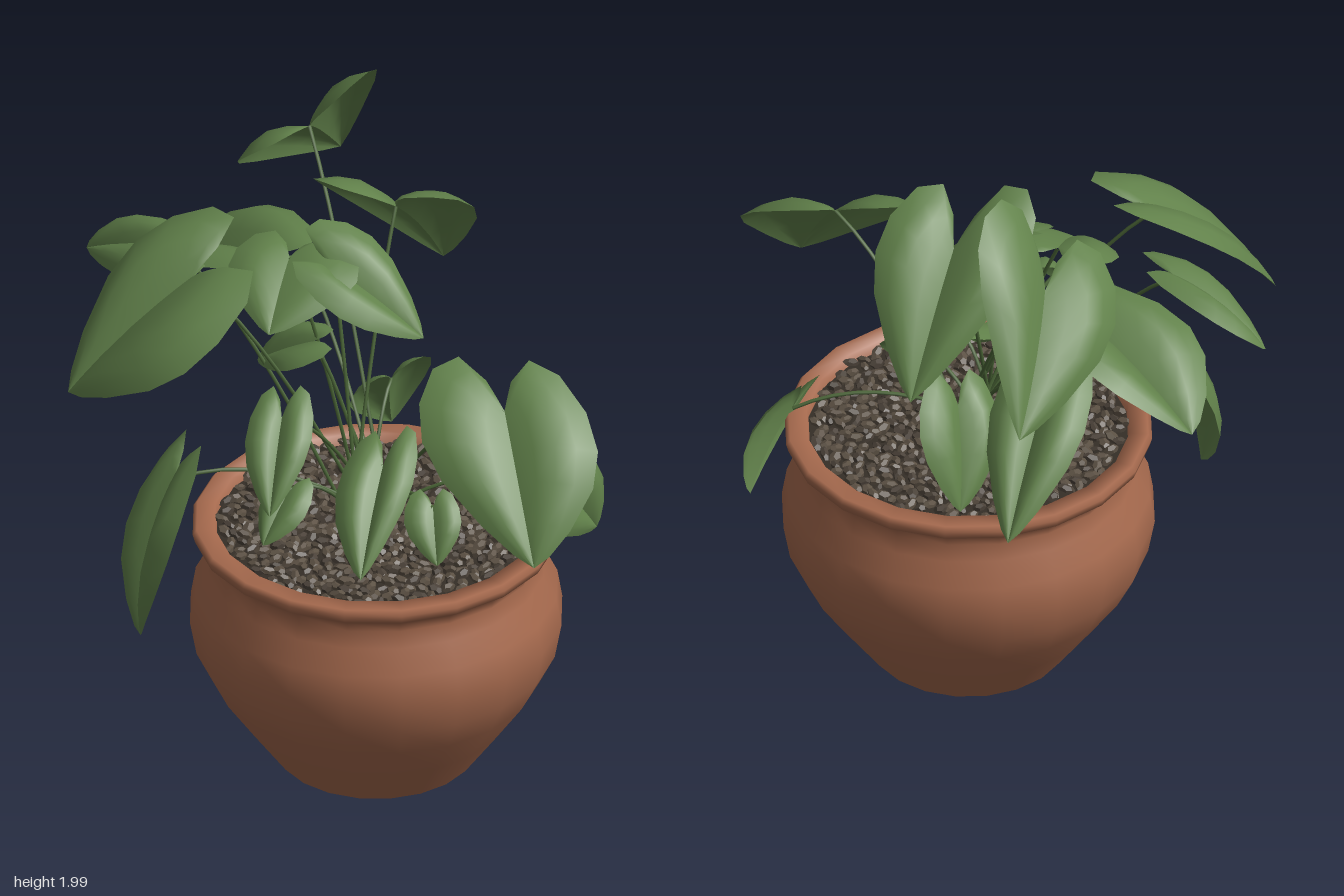
import * as THREE from 'three';
import { mergeGeometries } from 'three/addons/utils/BufferGeometryUtils.js';

const mat = (name, color, side = THREE.FrontSide) => {
  const m = new THREE.MeshStandardMaterial({ color, side });
  m.name = name;
  return m;
};
const V = (a) => new THREE.Vector3(...a);

// Small seeded generator for the pebbles
let seed = 7;
const rnd = () => ((seed = (seed * 16807) % 2147483647) / 2147483647);

// Half outline of a heart-shaped leaf: [across, along, matching point on the midrib]
const HEART = [
  [0, 0, 0], [0.14, -0.2, 0.0], [0.4, -0.36, 0.02], [0.72, -0.28, 0.06], [0.95, -0.05, 0.12],
  [1, 0.2, 0.25], [0.86, 0.45, 0.45], [0.5, 0.74, 0.7], [0.2, 0.92, 0.88], [0, 1, 1],
];
const SIDE_ALONG = 0.2;

// Leaf from its notch, its tip and the widest point of each half
function leafGeometry(notch, tip, sideA, sideB) {
  const along = tip.clone().sub(notch);
  const halves = [sideA, sideB].map((s) => s.clone().sub(notch).addScaledVector(along, -SIDE_ALONG));
  const up = halves[1].clone().sub(halves[0]).cross(along).normalize();
  if (up.y < 0) up.negate();
  const pos = [], index = [], cols = 4, row = cols + 1, len = along.length();
  halves.forEach((half, h) => {
    const base = pos.length / 3;
    HEART.forEach(([u, v, mid], i) => {
      for (let c = 0; c <= cols; c++) {
        const t = c / cols, a = mid + (v - mid) * t;
        // Blade bulges between rib and edge, and arches along its length
        const lift = len * (0.1 * Math.sin(Math.PI * t) * u + 0.16 * a * (1 - a));
        const p = notch.clone().addScaledVector(along, a).addScaledVector(half, u * t).addScaledVector(up, lift);
        pos.push(p.x, p.y, p.z);
        if (i && c) {
          const q = base + i * row + c;
          const quad = [q, q - 1, q - row, q - 1, q - row - 1, q - row];
          index.push(...(h ? quad : quad.reverse()));
        }
      }
    });
  });
  const g = new THREE.BufferGeometry();
  g.setAttribute('position', new THREE.Float32BufferAttribute(pos, 3));
  g.setIndex(index);
  g.computeVertexNormals();
  return g;
}

export function createModel() {
  const model = new THREE.Group();
  const terracotta = mat('terracotta', 0xa5694d);
  const soilMat = mat('dark soil', 0x352e27);
  const pebbleMats = [mat('brown pebble', 0x5b5043), mat('dark pebble', 0x4a4138)];
  const leafMat = mat('leaf green', 0x62824b, THREE.DoubleSide);
  const stemMat = mat('stem green', 0x4b6637);

  const add = (parent, name, geometry, material) => {
    const m = new THREE.Mesh(geometry, material);
    m.name = name;
    parent.add(m);
    return m;
  };

  // Pot, off the centre because the foliage overhangs to the back left
  const pot = new THREE.Group();
  pot.name = 'pot';
  pot.position.set(0.11, 0, 0.22);
  model.add(pot);
  const profile = [
    [0.3, 0], [0.4, 0.14], [0.49, 0.27], [0.54, 0.37], [0.56, 0.48], [0.545, 0.57], [0.505, 0.645],
    [0.495, 0.7], [0.5, 0.73], [0.545, 0.76], [0.552, 0.785], [0.54, 0.8], [0.485, 0.8], [0.475, 0.74],
  ].map(([r, y]) => new THREE.Vector2(r, y));
  add(pot, 'potBody', new THREE.LatheGeometry(profile, 20), terracotta);
  add(pot, 'potBase', new THREE.CircleGeometry(0.3, 20).rotateX(Math.PI / 2), terracotta);
  add(pot, 'soil', new THREE.CircleGeometry(0.485, 20).rotateX(-Math.PI / 2).translate(0, 0.768, 0), soilMat);

  // Pebbles in a spiral scatter
  const pebbles = [[], []];
  const count = 520;
  for (let i = 0; i < count; i++) {
    const r = 0.465 * Math.sqrt((i + 0.5) / count), a = i * 2.39996;
    const g = new THREE.DodecahedronGeometry(1, 0);
    g.scale(0.02 + rnd() * 0.012, 0.01 + rnd() * 0.006, 0.012 + rnd() * 0.007);
    g.rotateZ((rnd() - 0.5) * 0.7).rotateY(rnd() * Math.PI);
    g.translate(r * Math.cos(a), 0.778 + rnd() * 0.014, r * Math.sin(a));
    pebbles[i % 3 === 0 ? 1 : 0].push(g);
  }
  pebbles.forEach((list, i) => add(pot, 'pebbles', mergeGeometries(list), pebbleMats[i]));

  // Each plant: a leaf and the stem that carries it from the soil
  let n = 0;
  const plant = (name, notch, tip, sideA, sideB) => {
    const group = new THREE.Group();
    group.name = name;
    model.add(group);
    const end = V(notch);
    add(group, 'leaf', leafGeometry(end, V(tip), V(sideA), V(sideB)), leafMat);
    const a = n++ * 2.4;
    const root = new THREE.Vector3(0.08 + 0.06 * Math.cos(a), 0.77, 0.2 + 0.06 * Math.sin(a));
    const bend = root.clone().lerp(end, 0.55);
    bend.y += 0.1 + 0.12 * Math.hypot(end.x - root.x, end.z - root.z);
    const path = new THREE.QuadraticBezierCurve3(root, bend, end);
    add(group, 'stem', new THREE.TubeGeometry(path, 10, 0.006, 5), stemMat);
  };

  // Tall leaves
  plant('topBackLeaf', [-0.2, 1.76, -0.4], [-0.17, 1.47, -0.77], [-0.4, 1.62, -0.36], [0.0, 1.93, -0.46]);
  plant('upperCentreLeaf', [0.11, 1.68, -0.12], [0.2, 1.33, -0.43], [-0.12, 1.7, -0.15], [0.34, 1.67, -0.15]);
  plant('frontRightLeaf', [0.54, 1.36, 0.46], [0.68, 1.0, 0.75], [0.31, 1.29, 0.57], [0.83, 1.27, 0.5]);
  plant('frontLeftLeaf', [-0.44, 1.6, 0.25], [-0.79, 1.25, 0.4], [-0.63, 1.6, 0.08], [-0.4, 1.45, 0.57]);
  plant('farLeftLeaf', [-0.54, 1.55, 0], [-0.83, 1.42, -0.15], [-0.68, 1.52, -0.19], [-0.61, 1.47, 0.12]);
  plant('backLeftLeaf', [-0.3, 1.46, -0.14], [-0.64, 1.26, -0.39], [-0.59, 1.42, -0.08], [-0.32, 1.46, -0.4]);
  plant('centreLeaf', [-0.04, 1.58, 0.1], [0.24, 1.39, 0.14], [0.05, 1.62, -0.03], [0, 1.49, 0.24]);
  plant('centreLeftLeaf', [-0.18, 1.58, 0.06], [-0.2, 1.45, 0.3], [-0.36, 1.54, 0.08], [0.04, 1.56, 0.14]);

  // Low and drooping leaves
  plant('lowBackLeaf', [-0.19, 1.31, -0.29], [-0.12, 1.0, -0.65], [-0.32, 1.24, -0.4], [-0.03, 1.25, -0.35]);
  plant('lowFrontLeaf', [0.15, 1.05, 0.33], [0.13, 0.81, 0.6], [0.02, 0.97, 0.4], [0.25, 1.02, 0.37]);
  plant('midFrontLeaf', [-0.14, 1.24, 0.42], [-0.14, 1.02, 0.63], [-0.24, 1.18, 0.48], [-0.04, 1.2, 0.47]);
  plant('smallFrontLeaf', [-0.12, 0.98, 0.4], [-0.18, 0.85, 0.52], [-0.2, 0.95, 0.4], [-0.06, 0.93, 0.47]);
  plant('smallRightLeaf', [0.31, 0.95, 0.38], [0.34, 0.81, 0.48], [0.23, 0.91, 0.42], [0.4, 0.92, 0.4]);
  plant('droopingLeftLeaf', [-0.46, 1.0, 0.43], [-0.55, 0.5, 0.52], [-0.44, 0.82, 0.63], [-0.6, 0.78, 0.36]);
  plant('droopingRightLeaf', [0.62, 0.9, 0.08], [0.73, 0.67, -0.05], [0.62, 0.8, 0.21], [0.72, 0.89, -0.06]);
  plant('lowRearLeaf', [0.1, 1.09, -0.1], [0.07, 0.83, -0.28], [-0.02, 0.99, -0.08], [0.2, 1.06, -0.24]);
  plant('innerLeaf', [-0.1, 1.32, 0.1], [-0.28, 1.2, 0.04], [-0.18, 1.31, 0.0], [-0.16, 1.26, 0.19]);

  return model;
}
